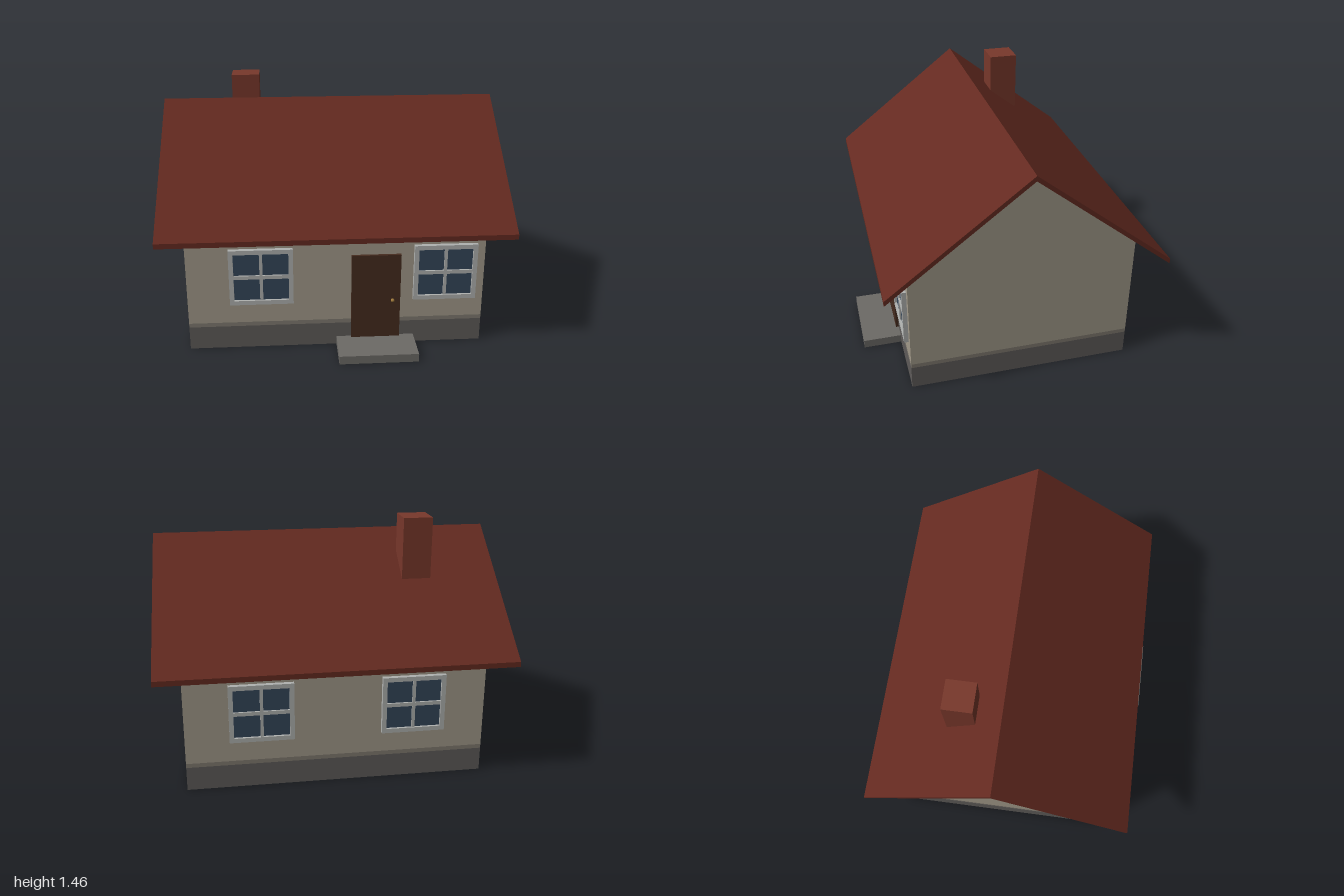
import * as THREE from 'three';

const mat = (color) => new THREE.MeshStandardMaterial({ color, flatShading: true });
const WALL = mat(0xa29a8a), BASE = mat(0x5e5b59), BLEND = mat(0x807a70), ROOF = mat(0x642a20);
const BRICK = mat(0x78382b), FRAME = mat(0xb0b2b0), GLASS = mat(0x34465a);
const DOOR = mat(0x452b1e), BRASS = mat(0xa07a3c), STONE = mat(0x6c6a66);

function add(parent, name, geometry, material) {
  const mesh = new THREE.Mesh(geometry, material);
  mesh.name = name;
  parent.add(mesh);
  return mesh;
}

// Box given by its minimum and maximum on each axis
function box(parent, name, [x0, x1], [y0, y1], [z0, z1], material) {
  const mesh = add(parent, name, new THREE.BoxGeometry(x1 - x0, y1 - y0, z1 - z0), material);
  mesh.position.set((x0 + x1) / 2, (y0 + y1) / 2, (z0 + z1) / 2);
  return mesh;
}

// Profile of [z, y] points extruded along x, from -half to +half
function extrudeAlongX(points, half) {
  const shape = new THREE.Shape(points.map(([z, y]) => new THREE.Vector2(z, y)));
  return new THREE.ExtrudeGeometry(shape, { depth: half * 2, bevelEnabled: false })
    .translate(0, 0, -half)
    .rotateY(-Math.PI / 2);
}

// Four-pane window; local z = 0 lies on the wall
function createWindow(name) {
  const w = 0.365, h = 0.34, rim = 0.026, depth = 0.026;
  const group = new THREE.Group();
  group.name = name;
  const rect = (P, a, b) => new P([[-a, -b], [a, -b], [a, b], [-a, b]].map((p) => new THREE.Vector2(...p)));
  const outline = rect(THREE.Shape, w / 2, h / 2);
  outline.holes.push(rect(THREE.Path, w / 2 - rim, h / 2 - rim));
  add(group, 'windowFrame', new THREE.ExtrudeGeometry(outline, { depth, bevelEnabled: false }), FRAME);
  const x = w / 2 - rim, y = h / 2 - rim;
  box(group, 'windowGlass', [-x, x], [-y, y], [0, 0.012], GLASS);
  box(group, 'verticalBar', [-0.009, 0.009], [-y, y], [0.01, 0.021], FRAME);
  box(group, 'horizontalBar', [-x, x], [-0.011, 0.011], [0.01, 0.022], FRAME);
  return group;
}

export function createModel() {
  const house = new THREE.Group();
  house.name = 'house';

  // Walls: dark plinth, a soft transition strip and the gabled body
  const front = 0.605, back = -0.685, ridge = -0.042, half = 0.858;
  box(house, 'plinth', [-half, half], [0, 0.14], [back, front], BASE);
  box(house, 'plinthTransition', [-half, half], [0.14, 0.165], [back, front], BLEND);
  add(house, 'walls', extrudeAlongX(
    [[back, 0.165], [front, 0.165], [front, 0.775], [ridge, 1.29], [back, 0.775]], half), WALL);

  // Thin pitched roof floating slightly above the gables
  add(house, 'roof', extrudeAlongX([
    [0.745, 0.705], [0.745, 0.735], [ridge, 1.35],
    [-0.83, 0.735], [-0.83, 0.705], [ridge, 1.32],
  ], 1), ROOF);
  box(house, 'chimney', [-0.6, -0.43], [1.0, 1.46], [-0.36, -0.19], BRICK);

  // Two windows on each long side
  for (const [name, x, z] of [
    ['frontRightWindow', -0.432, front], ['frontLeftWindow', 0.627, front],
    ['backRightWindow', -0.437, back], ['backLeftWindow', 0.427, back],
  ]) {
    const unit = createWindow(name);
    unit.position.set(x, 0.46, z);
    if (z < 0) unit.rotation.y = Math.PI;
    house.add(unit);
  }

  // Door with knob, and the doorstep
  box(house, 'door', [0.085, 0.37], [0.05, 0.575], [front - 0.01, 0.622], DOOR);
  add(house, 'doorKnob', new THREE.SphereGeometry(0.011, 12, 8), BRASS).position.set(0.325, 0.29, 0.63);
  box(house, 'doorstep', [0, 0.455], [0, 0.05], [front, 0.83], STONE);

  return house;
}
